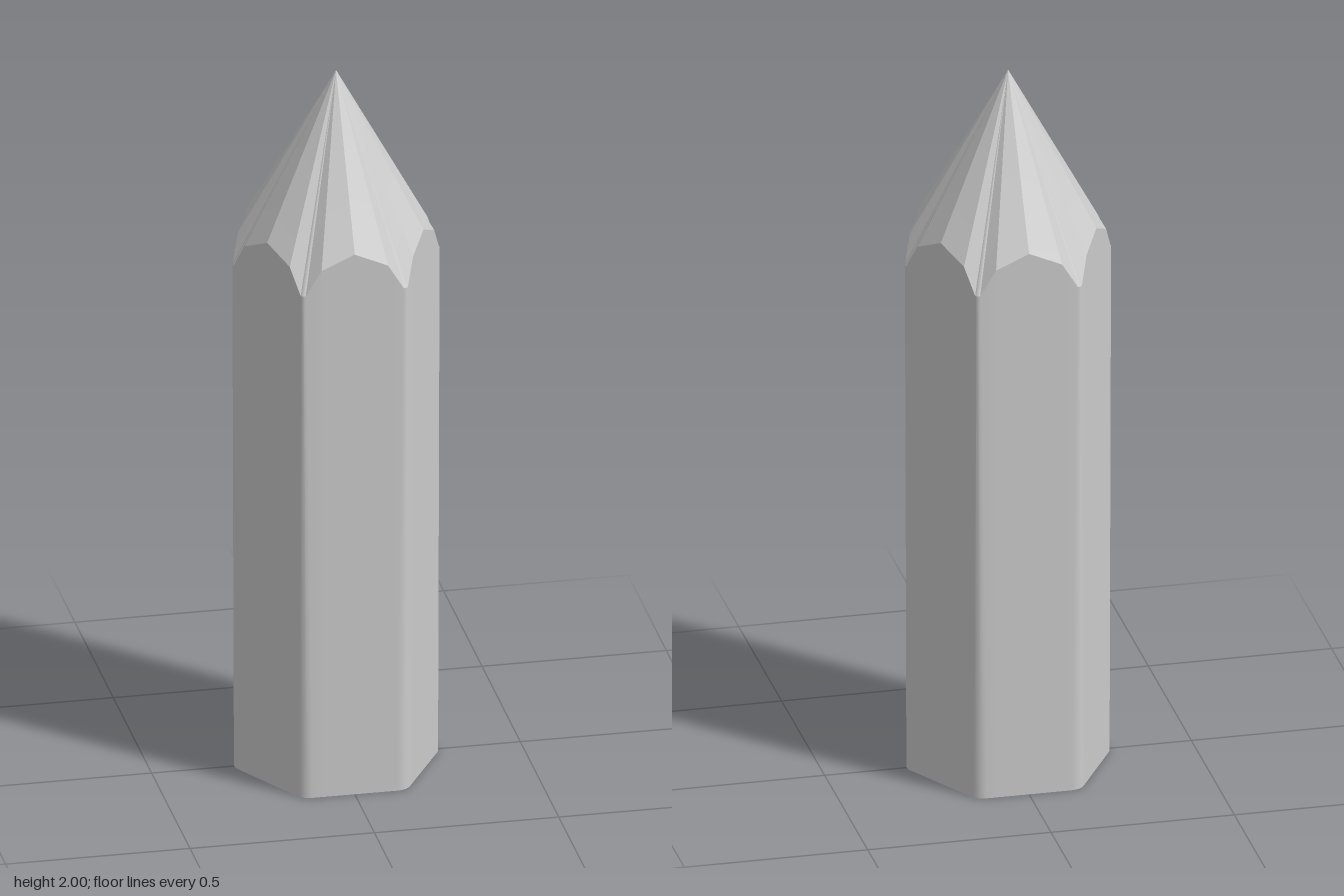
import * as THREE from 'three';
import { toCreasedNormals } from 'three/addons/utils/BufferGeometryUtils.js';

const APOTHEM = 0.245;
const ARC = 6; // segments in each rounded corner

// Hexagonal outline with corners on +x and -x; each point carries the height of the scalloped rim
function outline(radius) {
  const points = [];
  for (let k = 0; k < 6; k++) {
    const corner = (k * Math.PI) / 3;
    const centre = (APOTHEM - radius) / Math.cos(Math.PI / 6);
    for (let j = 0; j <= ARC; j++) {
      const a = corner + (j / ARC - 0.5) * (Math.PI / 3);
      points.push({
        x: centre * Math.cos(corner) + radius * Math.cos(a),
        z: centre * Math.sin(corner) + radius * Math.sin(a),
        rim: 1.46,
      });
    }
    const n = corner + Math.PI / 6;
    for (const s of [-0.09, 0, 0.09]) {
      points.push({
        x: APOTHEM * Math.cos(n) - s * Math.sin(n),
        z: APOTHEM * Math.sin(n) + s * Math.cos(n),
        rim: s === 0 ? 1.57 : 1.53,
      });
    }
  }
  return points;
}

// Turns a list of triangle corners into a grey mesh with sharp edges kept
function triangleMesh(name, corners) {
  const geometry = new THREE.BufferGeometry().setFromPoints(corners);
  const mesh = new THREE.Mesh(
    toCreasedNormals(geometry, 0.2),
    new THREE.MeshStandardMaterial({ color: 0xcccccc })
  );
  mesh.name = name;
  return mesh;
}

export function createModel() {
  const group = new THREE.Group();
  group.name = 'pointedHexagonalPost';

  // Corners are rounder at the foot than at the rim
  const low = outline(0.045).map((p) => new THREE.Vector3(p.x, 0, p.z));
  const high = outline(0.014).map((p) => new THREE.Vector3(p.x, p.rim, p.z));
  const apex = new THREE.Vector3(0, 2, 0);
  const foot = new THREE.Vector3(0, 0, 0);

  const shaft = [], tip = [], base = [];
  low.forEach((l0, i) => {
    const next = (i + 1) % low.length;
    const l1 = low[next], h0 = high[i], h1 = high[next];
    shaft.push(l0, h0, h1, l0, h1, l1);
    tip.push(h0, apex, h1);
    base.push(foot, l0, l1);
  });

  group.add(
    triangleMesh('shaft', shaft),
    triangleMesh('tip', tip),
    triangleMesh('base', base)
  );
  return group;
}
